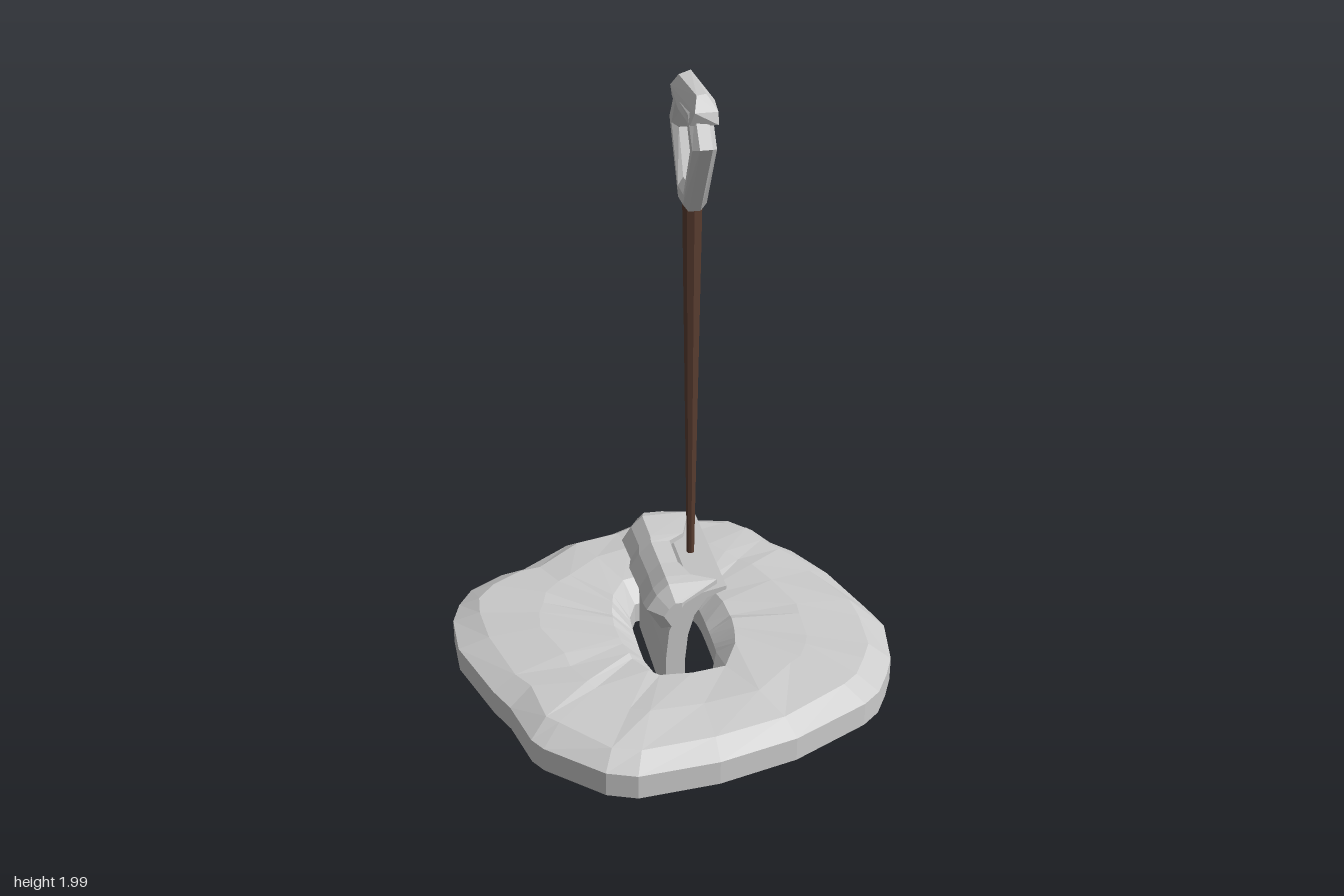
import * as THREE from 'three';
import { ConvexGeometry } from 'three/addons/geometries/ConvexGeometry.js';

const grey = new THREE.MeshStandardMaterial({ color: 0xcccccc, flatShading: true });
const greyOpen = new THREE.MeshStandardMaterial({ color: 0xcccccc, flatShading: true, side: THREE.DoubleSide });
const wood = new THREE.MeshStandardMaterial({ color: 0x5a3d30, flatShading: true });

const V = (x, y, z) => new THREE.Vector3(x, y, z);

// Skin a row of closed rings; wrap joins last to first, otherwise the ends are capped
function loft(rings, wrap) {
  const pos = [];
  const tri = (a, b, c) => pos.push(...a.toArray(), ...b.toArray(), ...c.toArray());
  const n = rings[0].length, m = rings.length;
  for (let s = 0; s < (wrap ? m : m - 1); s++) {
    const r = rings[s], q = rings[(s + 1) % m];
    for (let i = 0; i < n; i++) {
      const k = (i + 1) % n;
      tri(r[i], r[k], q[k]);
      tri(r[i], q[k], q[i]);
    }
  }
  if (!wrap) {
    for (let i = 1; i < n - 1; i++) {
      tri(rings[0][0], rings[0][i + 1], rings[0][i]);
      tri(rings[m - 1][0], rings[m - 1][i], rings[m - 1][i + 1]);
    }
  }
  const g = new THREE.BufferGeometry();
  g.setAttribute('position', new THREE.Float32BufferAttribute(pos, 3));
  g.computeVertexNormals();
  return g;
}

function mesh(name, geometry, material, parent) {
  const m = new THREE.Mesh(geometry, material);
  m.name = name;
  parent.add(m);
  return m;
}

// Irregular outline of the mound as (x, z)
const outline = [
  [0.08, -0.69], [0, -0.68], [-0.08, -0.64], [-0.25, -0.6], [-0.42, -0.48], [-0.5, -0.46],
  [-0.61, -0.39], [-0.66, -0.31], [-0.69, -0.22], [-0.69, -0.06], [-0.61, 0.19], [-0.57, 0.28],
  [-0.53, 0.45], [-0.5, 0.5], [-0.34, 0.65], [-0.25, 0.685], [0, 0.67], [0.25, 0.61],
  [0.5, 0.49], [0.56, 0.44], [0.61, 0.36], [0.65, 0.28], [0.685, 0.1], [0.66, 0],
  [0.59, -0.24], [0.51, -0.4], [0.45, -0.47], [0.41, -0.56], [0.34, -0.64],
];

function moundGeometry() {
  let seed = 7;
  const rand = () => (seed = (seed * 16807) % 2147483647) / 2147483647 - 0.5;
  // Squarish hole around the blade
  const hole = ([x, z], grow) => {
    const a = Math.atan2(z, x), c = Math.cos(a), s = Math.sin(a);
    const r = 1 / Math.pow(Math.pow(Math.abs(c) / 0.12, 4) + Math.pow(Math.abs(s) / 0.22, 4), 0.25);
    return [c * (r + grow), s * (r + grow)];
  };
  // [spread from hole to outline, hole growth, height, roughness]
  const levels = [
    [0, 0, 0.07, 0], [0, 0.07, 0.022, 0.01], [0.45, 0.07, 0.012, 0.01], [0.84, 0.05, 0.027, 0.01],
    [1, 0, 0.07, 0], [1, 0, 0.15, 0],
    [0.84, 0.05, 0.193, 0.01], [0.45, 0.07, 0.208, 0.012], [0, 0.07, 0.198, 0.012], [0, 0, 0.14, 0],
  ];
  const rings = levels.map(([t, grow, y, rough]) => outline.map((p) => {
    const h = hole(p, grow);
    const u = t > 0 && t < 1 ? t + rand() * 0.06 : t;
    return V(h[0] + (p[0] - h[0]) * u, y + rand() * rough, h[1] + (p[1] - h[1]) * u);
  }));
  return loft(rings, true);
}

// Extrude an xy profile between two z values
function slab(points, z0, z1) {
  const shape = new THREE.Shape(points.map(([x, y]) => new THREE.Vector2(x, y)));
  const g = new THREE.ExtrudeGeometry(shape, { depth: z1 - z0, bevelEnabled: false });
  return g.translate(0, 0, z0);
}

export function createModel() {
  const model = new THREE.Group();
  model.name = 'shovelInSnow';

  mesh('snowMound', moundGeometry(), grey, model);

  // Scoop: curved sheet with a flange at each end
  const scoop = new THREE.Group();
  scoop.name = 'scoop';
  model.add(scoop);
  const back = [[-0.07, 0.05], [-0.07, 0.22], [-0.06, 0.32], [-0.03, 0.4], [0.02, 0.445], [0.12, 0.465]];
  const inner = [[0.12, 0.452], [0.06, 0.43], [0.02, 0.37], [0, 0.3], [-0.01, 0.2], [-0.01, 0.05]];
  const sheetInner = back.map(([x, y], i) => [x + (i < 5 ? 0.011 : 0), y - (i > 1 ? 0.01 : 0)]).reverse();
  mesh('scoopSheet', slab([...back, ...sheetInner], -0.2, 0.22), greyOpen, scoop);
  for (const z of [-0.205, 0.213]) mesh('scoopFlange', slab([...back, ...inner], z, z + 0.012), greyOpen, scoop);

  // Snow lying over the scoop: [z, scale, right reach, lift]
  const stations = [
    [-0.24, 0.55, 0.05, 0.01], [-0.2, 0.95, 0.1, 0], [-0.08, 0.9, 0.06, 0], [-0.05, 1, 0, -0.01],
    [0.08, 0.95, 0, -0.005], [0.17, 1, 0.02, 0], [0.21, 0.95, 0.1, 0], [0.25, 0.5, -0.02, -0.02],
  ];
  const lump = stations.map(([z, k, reach, lift]) => [
    [reach, 0.468], [reach, 0.485], [-0.06, 0.488], [-0.1, 0.45], [-0.132, 0.4],
    [-0.085, 0.32], [-0.055, 0.355], [-0.025, 0.42], [Math.min(reach, 0.02), 0.45],
  ].map(([x, y]) => V(-0.03 + (x + 0.03) * k, 0.43 + (y - 0.43) * k + lift, z)));
  mesh('scoopSnow', loft(lump, false), grey, model);

  // Tapered shaft
  const shaft = mesh('shaft', new THREE.CylinderGeometry(0.03, 0.012, 1.19, 8), wood, model);
  shaft.position.set(0.055, 1.06, 0.01);

  // Six-sided grip: outer and inner corners as (z, y)
  const outer = [[0.03, 1.635], [0.172, 1.87], [0.1, 1.965], [-0.1, 1.965], [-0.172, 1.87], [-0.03, 1.635]];
  const hollow = [[0.04, 1.715], [0.1, 1.845], [0.065, 1.91], [-0.065, 1.91], [-0.1, 1.845], [-0.04, 1.715]];
  const section = [
    [1, -0.018], [1, 0.018], [0.7, 0.035], [0.3, 0.035], [0, 0.018], [0, -0.018], [0.3, -0.035], [0.7, -0.035],
  ];
  const grip = outer.map(([z, y], i) => section.map(([u, x]) =>
    V(0.055 + x, THREE.MathUtils.lerp(hollow[i][1], y, u), 0.01 + THREE.MathUtils.lerp(hollow[i][0], z, u))));
  mesh('grip', loft(grip, true), grey, model);

  // Snow cap on the grip
  const cap = [
    V(0.02, 1.925, 0.13), V(0.1, 1.925, 0.14), V(0.03, 1.965, 0.145), V(0.1, 1.96, 0.13),
    V(0.045, 2, 0.1), V(0.075, 2, 0.09), V(0.11, 1.965, 0.04), V(0.11, 1.925, 0),
    V(0.015, 1.93, 0), V(0.04, 1.995, -0.11), V(0.08, 2, -0.13), V(0.105, 1.96, -0.12),
    V(0.02, 1.96, -0.13), V(0.06, 1.965, -0.15), V(0.09, 1.925, -0.135), V(0.025, 1.925, -0.13),
  ];
  mesh('gripSnow', new ConvexGeometry(cap), grey, model);

  return model;
}
